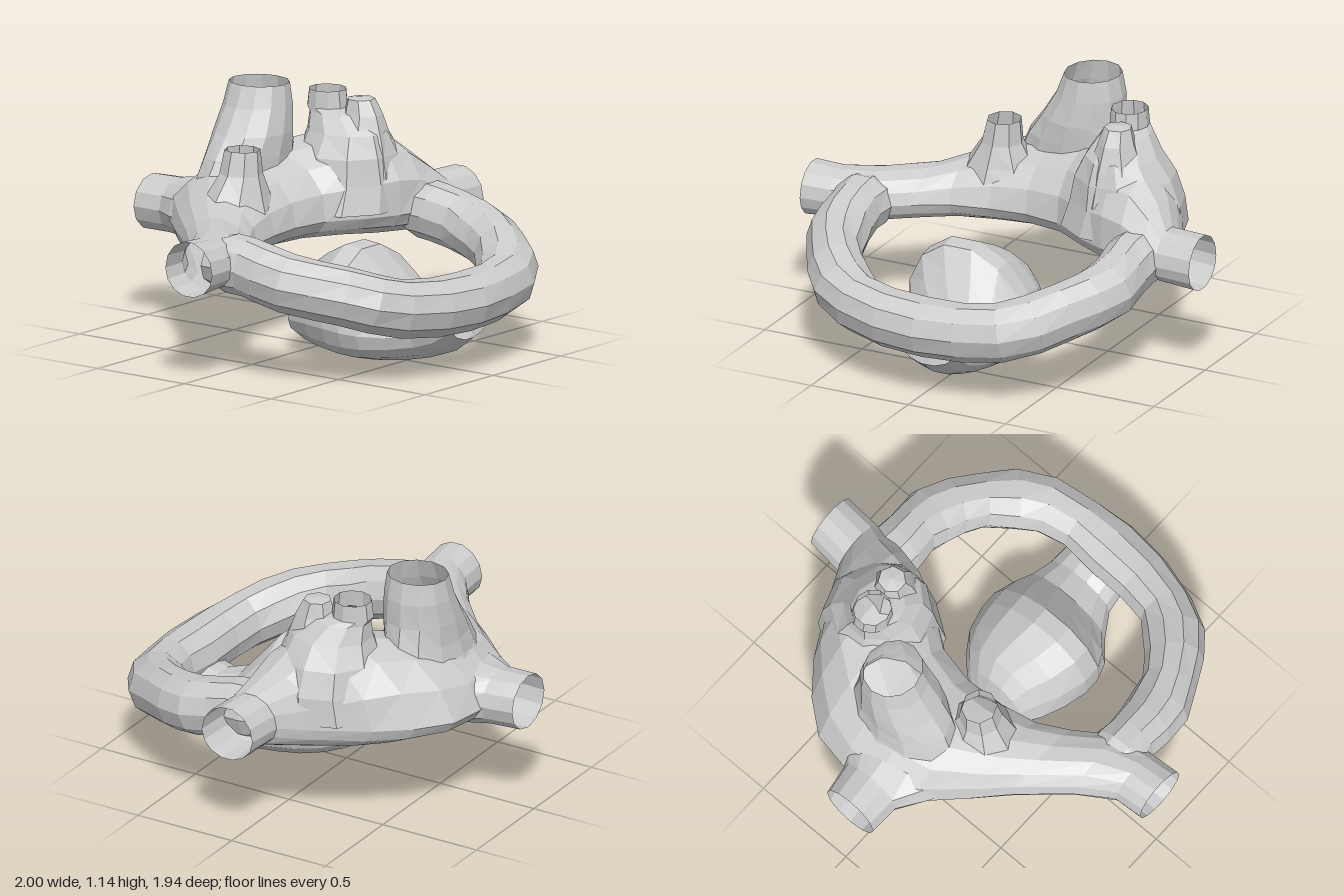
import * as THREE from 'three';

const material = new THREE.MeshStandardMaterial({ color: 0xcccccc, flatShading: true, side: THREE.DoubleSide });

// Skin a list of rings (arrays of Vector3, equal length); open at both ends.
function skin(name, rings) {
  const n = rings[0].length, idx = [];
  for (let i = 0; i + 1 < rings.length; i++) {
    for (let j = 0; j < n; j++) {
      const a = i * n + j, b = i * n + (j + 1) % n;
      idx.push(a, b, a + n, b, b + n, a + n);
    }
  }
  const g = new THREE.BufferGeometry().setFromPoints(rings.flat());
  g.setIndex(idx);
  g.computeVertexNormals();
  const mesh = new THREE.Mesh(g, material);
  mesh.name = name;
  return mesh;
}

const around = (n, f) => Array.from({ length: n }, (_, j) => {
  const a = j / n * Math.PI * 2;
  return f(Math.cos(a), Math.sin(a));
});

// Cross gallery: each row is x, zMin, zMax, yBottom, yTop, lean of the crest.
function gallery() {
  const rows = [
    [-1, -.11, .16, .41, .67, 0], [-.86, -.12, .15, .42, .66, 0], [-.7, -.23, .14, .42, .66, 0],
    [-.5, -.41, .0, .42, .66, 0], [-.36, -.56, -.08, .42, .7, 0], [-.18, -.74, -.12, .41, .76, .0],
    [0, -.81, -.14, .41, .79, .02], [.18, -.82, -.11, .41, .82, .04], [.35, -.79, .0, .41, .87, .08],
    [.5, -.67, .07, .4, .9, .08], [.62, -.52, .11, .4, .87, .04], [.74, -.3, .14, .41, .76, 0],
    [.82, -.13, .15, .42, .67, 0], [1, -.11, .16, .41, .67, 0],
  ];
  return skin('crossGallery', rows.map(([x, z0, z1, y0, y1, lean]) => around(14, (c, s) => {
    const mid = .53;
    return new THREE.Vector3(x,
      mid + s * (s > 0 ? y1 - mid : mid - y0),
      (z0 + z1) / 2 - c * (z1 - z0) / 2 + lean * Math.max(0, s));
  })));
}

// Vertical shaft: each row is y, x, z, radius in x, radius in z.
function shaft(name, rows, n = 10) {
  return skin(name, rows.map(([y, x, z, rx, rz]) =>
    around(n, (c, s) => new THREE.Vector3(x + c * rx, y, z - s * rz))));
}

// Passage along z: each row is z, x, half width, yBottom, yTop, yWidest, lean of the crest.
function passage(name, rows, n = 12) {
  return skin(name, rows.map(([z, x, w, y0, y1, mid = (y0 + y1) / 2, lean = 0]) =>
    around(n, (c, s) => new THREE.Vector3(
      x + c * w + lean * Math.max(0, s), mid + s * (s > 0 ? y1 - mid : mid - y0), z))));
}

// Curved tunnel sloping down to the front, linking both sides of the gallery.
function loopTunnel() {
  const path = new THREE.CatmullRomCurve3([
    [-.73, .53, -.02], [-.72, .52, .15], [-.7, .47, .36], [-.58, .42, .6], [-.38, .35, .77],
    [0, .325, .83], [.36, .35, .79], [.58, .42, .59], [.69, .47, .36], [.69, .52, .14], [.7, .53, -.02],
  ].map(p => new THREE.Vector3(...p)));
  const rings = [], steps = 20;
  for (let i = 0; i <= steps; i++) {
    const p = path.getPoint(i / steps), t = path.getTangent(i / steps);
    const side = new THREE.Vector3(t.z, 0, -t.x).normalize();
    const up = new THREE.Vector3().crossVectors(t, side);
    const r = .135 + .01 * Math.sin(i * 2.1);
    const h = i % steps === 0 ? .11 : .137;
    rings.push(around(10, (c, s) => p.clone().addScaledVector(side, c * r).addScaledVector(up, s * h)));
  }
  return skin('loopTunnel', rings);
}

export function createModel() {
  const group = new THREE.Group();
  group.name = 'tunnelSystem';
  group.add(gallery(), loopTunnel());

  // Open tunnel mouth at the back
  group.add(passage('backTunnel', [
    [-.97, 0, .14, .41, .67], [-.82, .01, .155, .41, .67], [-.7, .02, .25, .41, .69], [-.5, .02, .36, .42, .71],
  ]));

  // Shafts rising from the gallery
  group.add(shaft('mainShaft', [
    [.6, .1, -.49, .36, .25], [.74, .09, -.5, .28, .18], [.82, .1, -.49, .25, .175], [.92, .125, -.485, .2, .175],
    [1.04, .16, -.485, .16, .16], [1.14, .17, -.485, .13, .145],
  ], 12));
  group.add(shaft('leftShaft', [
    [.55, .47, -.22, .3, .28], [.68, .49, -.21, .27, .255], [.8, .48, -.21, .235, .235], [.9, .47, -.21, .17, .2],
    [.98, .46, -.26, .115, .14], [1.0, .45, -.31, .09, .1], [1.08, .45, -.31, .085, .09],
  ]));
  group.add(shaft('rightShaft', [
    [.58, -.22, -.31, .23, .18], [.7, -.21, -.31, .16, .14], [.8, -.2, -.3, .1, .1], [.91, -.19, -.3, .08, .085],
  ], 8));
  // Closed knob in front of the left shaft
  group.add(shaft('leftKnob', [
    [.7, .48, -.13, .18, .17], [.86, .48, -.13, .13, .135], [.98, .48, -.13, .085, .095],
    [1.05, .48, -.14, .065, .065], [1.06, .48, -.14, 0, 0],
  ], 7));

  // Low chamber, flat below and peaked above, with a neck into the loop tunnel
  group.add(passage('chamber', [
    [-.07, -.04, 0, .15, .15, .15], [-.06, -.04, .1, .1, .22, .15], [-.02, -.04, .17, .065, .36, .16],
    [.05, -.03, .23, .04, .43, .17], [.15, -.02, .285, .02, .49, .18, -.04], [.27, -.02, .315, .005, .55, .18, -.07],
    [.36, -.015, .315, .0, .54, .17, -.07], [.44, -.01, .29, .005, .44, .16, -.03], [.53, .01, .23, .015, .33, .15],
    [.64, .03, .18, .035, .3, .16], [.74, .03, .17, .07, .33, .19], [.85, .02, .15, .15, .38, .25],
  ], 14));
  return group;
}
